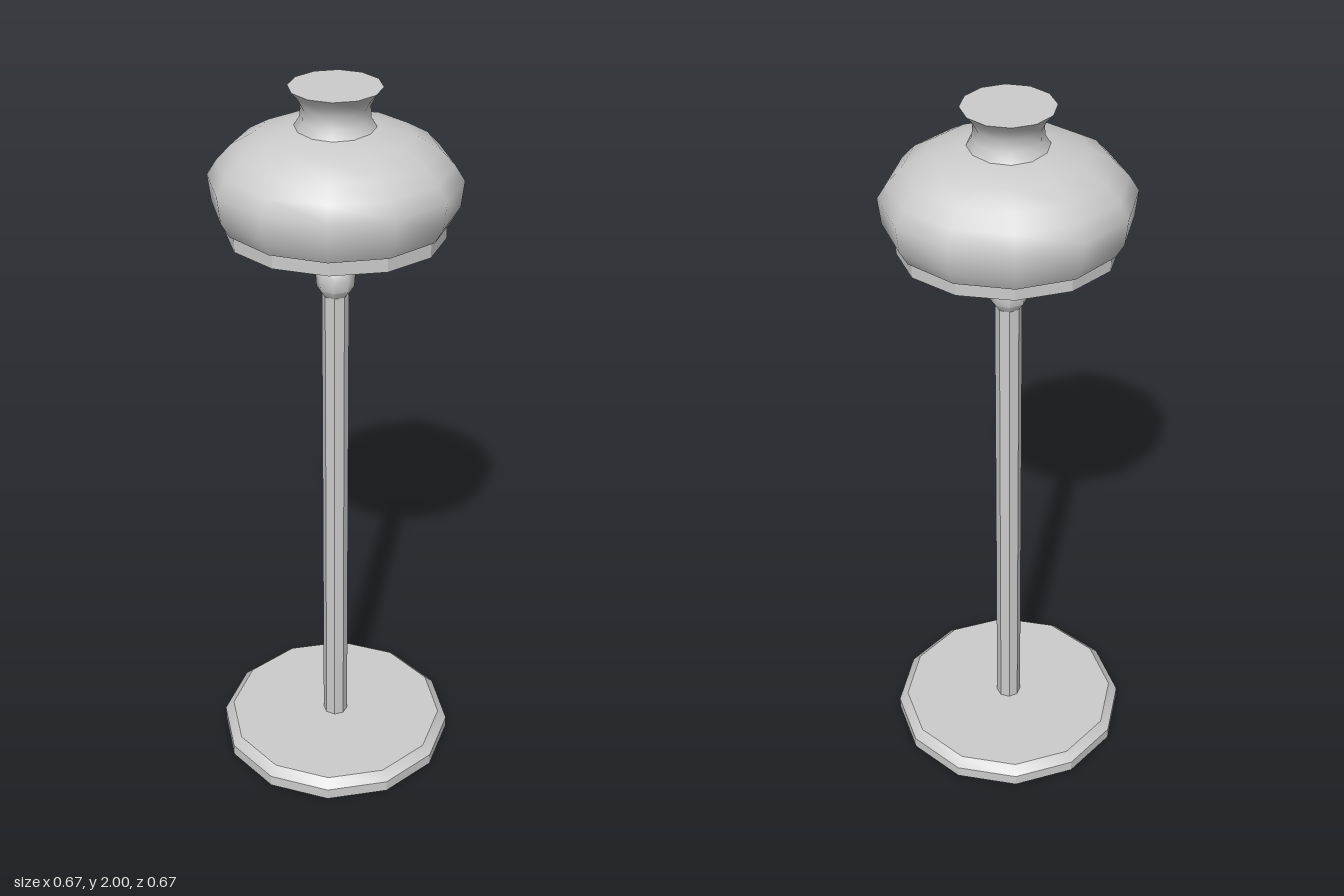
import * as THREE from 'three';
import { toCreasedNormals } from 'three/addons/utils/BufferGeometryUtils.js';

const solid = new THREE.MeshStandardMaterial({ color: 0xcccccc });
const sheet = new THREE.MeshStandardMaterial({ color: 0xcccccc, side: THREE.DoubleSide });

// Revolves a [radius, height] profile, listed from bottom to top.
function turned(name, profile, sides, crease, depth = 1, material = solid) {
  const points = profile.map(([r, y]) => new THREE.Vector2(r, y));
  const geometry = new THREE.LatheGeometry(points, sides);
  geometry.scale(1, 1, depth);
  const mesh = new THREE.Mesh(toCreasedNormals(geometry, crease), material);
  mesh.name = name;
  return mesh;
}

export function createModel() {
  const lamp = new THREE.Group();
  lamp.name = 'lamp';

  // Hollow foot, open underneath, with a hole for the stem
  lamp.add(turned('base', [[0.333, 0], [0.333, 0.033], [0.308, 0.057], [0.028, 0.057]], 12, 0.4, 1, sheet));

  // Open tube and its joint
  lamp.add(turned('stem', [[0.035, 0.057], [0.035, 1.45]], 8, 0.4, 1, sheet));
  lamp.add(turned('stemJoint', [
    [0, 1.445], [0.034, 1.445], [0.049, 1.468], [0.051, 1.5], [0.044, 1.522], [0.034, 1.535], [0, 1.535],
  ], 8, 0.87));

  // Short socket that narrows from front to back only
  const socket = new THREE.CylinderGeometry(0.035, 0.035, 0.1, 8);
  const p = socket.attributes.position;
  for (let i = 0; i < p.count; i++) p.setZ(i, p.getZ(i) * (p.getY(i) > 0 ? 0.8 : 1.1));
  socket.translate(0, 1.57, 0);
  const socketMesh = new THREE.Mesh(toCreasedNormals(socket, 0.4), solid);
  socketMesh.name = 'socket';
  lamp.add(socketMesh);

  // Shade, slightly oval: collar, bulging body and flared neck
  lamp.add(turned('shadeCollar', [[0, 1.61], [0.28, 1.61], [0.28, 1.665], [0, 1.665]], 12, 0.4, 0.845));
  lamp.add(turned('shadeBody', [
    [0, 1.656], [0.29, 1.656], [0.312, 1.695], [0.32, 1.765], [0.295, 1.805],
    [0.258, 1.845], [0.2, 1.878], [0.105, 1.9], [0, 1.9],
  ], 12, 0.87, 0.9));
  lamp.add(turned('shadeNeck', [
    [0.105, 1.895], [0.088, 1.922], [0.086, 1.953], [0.1, 1.98], [0.117, 2], [0, 2],
  ], 12, 0.87));

  return lamp;
}
